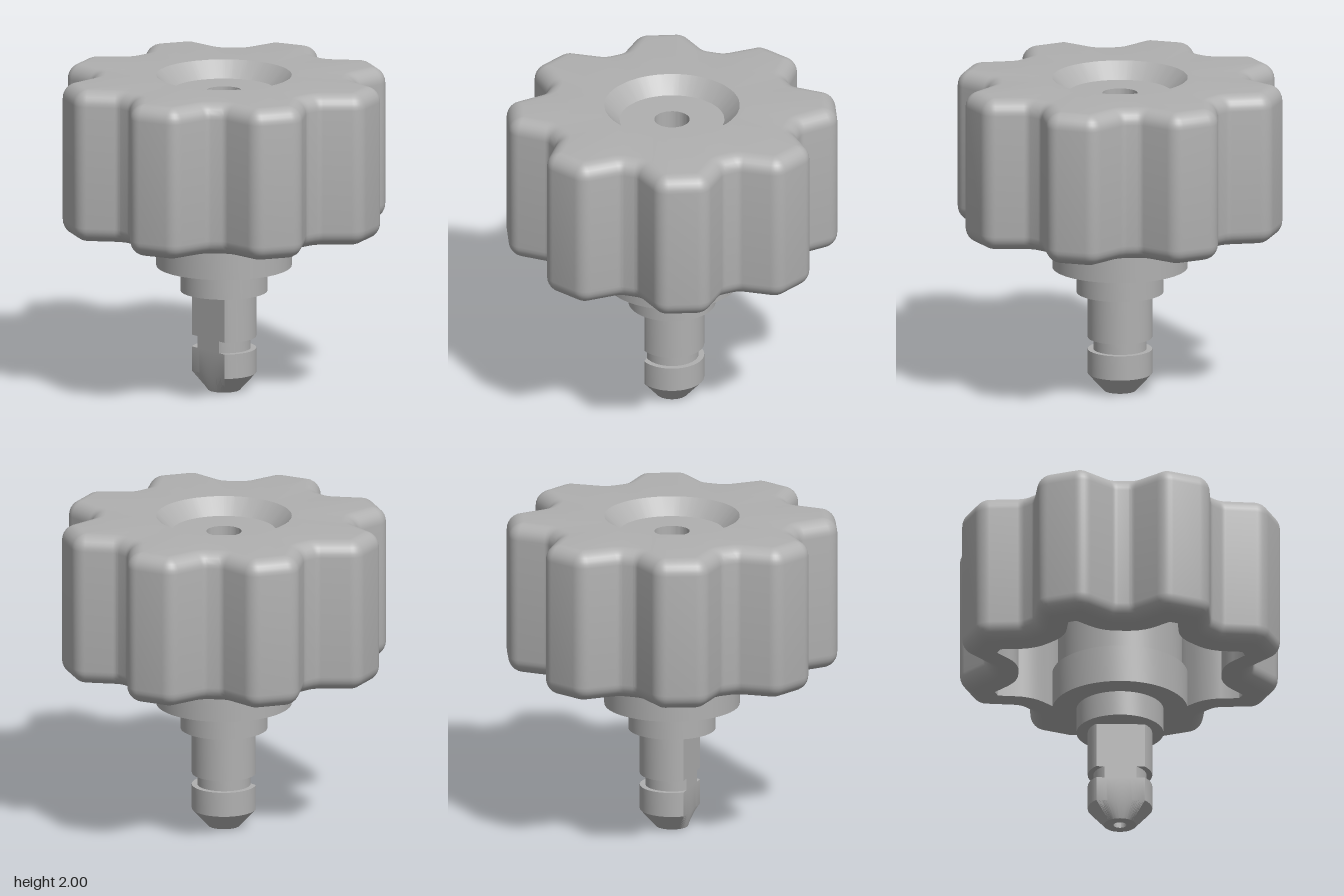
import * as THREE from 'three';
import { toCreasedNormals } from 'three/addons/utils/BufferGeometryUtils.js';

const DEG = Math.PI / 180;
const LOBES = 8;
const CREASE = 32 * DEG;

// Half of one period of the lobed outline, as [tangential, radial], inset by d
function halfPeriod(d) {
  const pts = [];
  // concave fillet in the valley
  for (let i = 0; i <= 5; i++) {
    const a = 41 * DEG * i / 5, r = 0.06 + d;
    pts.push([0.0316 + r * Math.sin(a), 0.89 - r * Math.cos(a)]);
  }
  // convex lobe corner; a deep inset slides the corner along its bisector
  const r = Math.max(0.1 - d, 0.005);
  const slide = (r - (0.1 - d)) / Math.cos(31.75 * DEG), b = -9.25 * DEG;
  const cv = 0.27 - slide * Math.sin(b), cu = 0.885 - slide * Math.cos(b);
  for (let i = 0; i <= 7; i++) {
    const a = (-41 + 63.5 * i / 7) * DEG;
    pts.push([cv + r * Math.sin(a), cu + r * Math.cos(a)]);
  }
  return pts;
}

// Full closed outline at height y
function lobedRing(d, y) {
  const half = halfPeriod(d);
  const period = [...half.map(([v, u]) => [-v, u]).reverse(), ...half];
  const ring = [];
  for (let k = 0; k < LOBES; k++) {
    const s = Math.sin(k * Math.PI * 2 / LOBES), c = Math.cos(k * Math.PI * 2 / LOBES);
    for (const [v, u] of period) ring.push([u * s + v * c, y, u * c - v * s]);
  }
  return ring;
}

// Circle whose points line up with those of the outline
function roundRing(radius, y) {
  return lobedRing(0, y).map(([x, , z]) => {
    const k = radius / Math.hypot(x, z);
    return [x * k, y, z * k];
  });
}

// Skin a sequence of rings
function loft(rings) {
  const n = rings[0].length, index = [];
  for (let i = 0; i < rings.length - 1; i++) {
    for (let j = 0; j < n; j++) {
      const k = (j + 1) % n, a = i * n, b = a + n;
      index.push(a + j, b + j, b + k, a + j, b + k, a + k);
    }
  }
  const geo = new THREE.BufferGeometry();
  geo.setAttribute('position', new THREE.Float32BufferAttribute(rings.flat(2), 3));
  geo.setIndex(index);
  return toCreasedNormals(geo, CREASE);
}

function lathe(profile, edit) {
  const geo = new THREE.LatheGeometry(profile.map(([x, y]) => new THREE.Vector2(x, y)), 96);
  if (edit) {
    const p = geo.attributes.position;
    for (let i = 0; i < p.count; i++) edit(p, i);
  }
  return toCreasedNormals(geo, CREASE);
}

export function createModel() {
  const group = new THREE.Group();
  const grey = new THREE.MeshStandardMaterial({ color: 0xb0b0b0 });
  grey.name = 'plain grey';
  const add = (name, geo) => {
    const mesh = new THREE.Mesh(geo, grey);
    mesh.name = name;
    group.add(mesh);
    return mesh;
  };

  // Knob: bore and dish, rounded lobed outside, hollow underside
  const F = 0.097, top = 2, bottom = 1.035, steps = 7;
  const rings = [
    roundRing(0.0001, 1.55), roundRing(0.11, 1.55), roundRing(0.11, 1.9),
    roundRing(0.325, 1.9), roundRing(0.42, top),
  ];
  for (let i = 0; i <= steps; i++) {
    const a = i / steps * Math.PI / 2;
    rings.push(lobedRing(F * (1 - Math.sin(a)), top - F * (1 - Math.cos(a))));
  }
  for (let i = 0; i <= steps; i++) {
    const a = i / steps * Math.PI / 2;
    rings.push(lobedRing(F * (1 - Math.cos(a)), bottom + F * (1 - Math.sin(a))));
  }
  rings.push(lobedRing(0.2, bottom), lobedRing(0.2, 1.85), roundRing(0.3, 1.85));
  add('knob', loft(rings));

  // Bar across the bottom of the bore
  add('boreBar', new THREE.BoxGeometry(0.13, 0.06, 0.17)).position.y = 1.58;

  // Hub with flange and collar
  add('hub', lathe([
    [0, 0.63], [0.27, 0.63], [0.27, 0.79], [0.42, 0.79],
    [0.42, 1.033], [0.384, 1.033], [0.384, 1.86],
  ]));

  // Grooved shaft with a flat on one side and a centre hole in its tip
  add('shaft', lathe([
    [0, 0.08], [0.04, 0.08], [0.04, 0], [0.1, 0], [0.2, 0.11], [0.2, 0.265],
    [0.165, 0.265], [0.165, 0.34], [0.2, 0.34], [0.2, 0.64],
  ], (p, i) => p.setX(i, Math.max(p.getX(i), -0.13))));

  return group;
}
